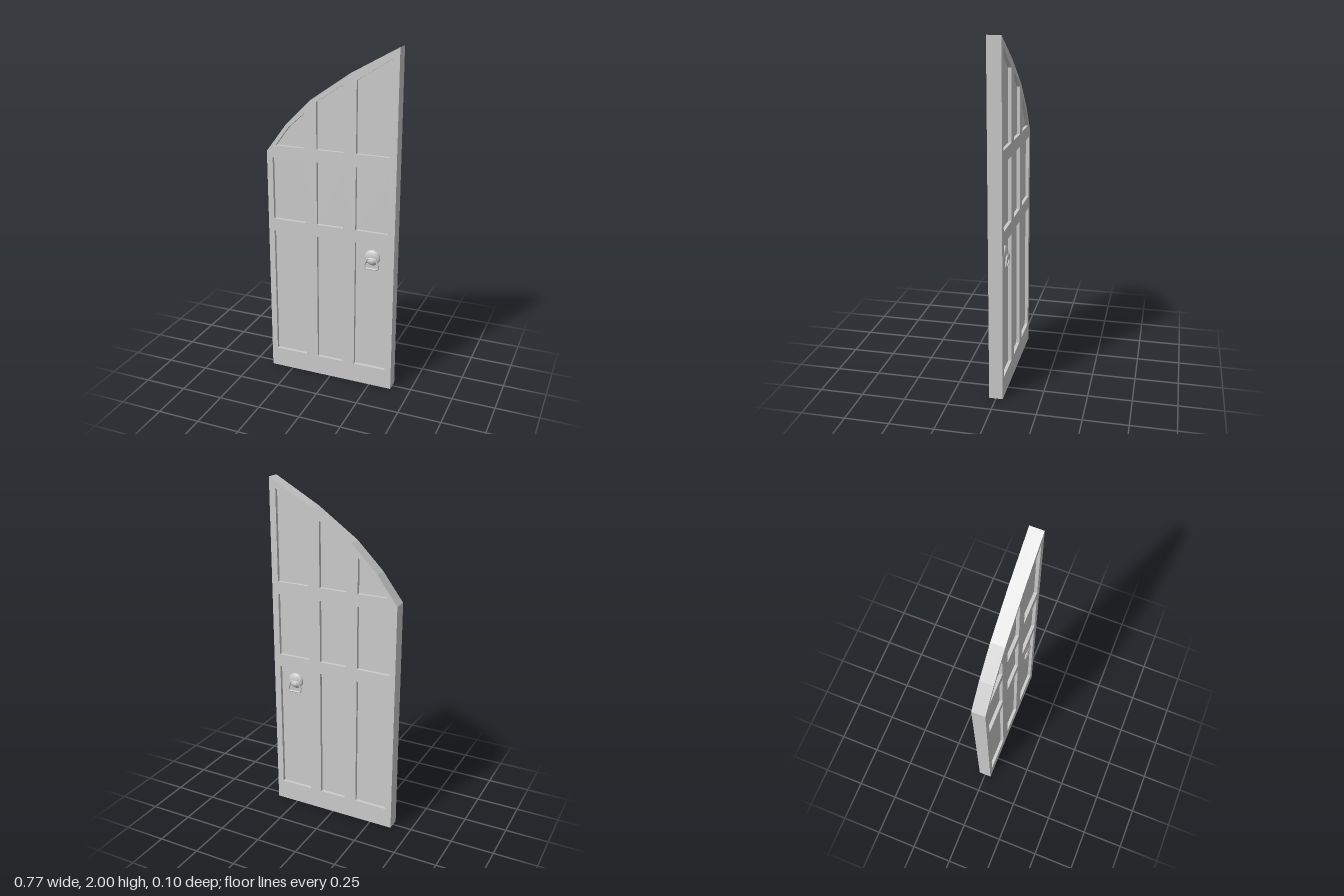
import * as THREE from 'three';

const mat = new THREE.MeshStandardMaterial({ color: 0xcccccc });
const HALF = 0.039; // half thickness of the frame
const FLOOR = 0.02; // half thickness of the sunk panels

function mesh(name, geometry, parent) {
  const m = new THREE.Mesh(geometry, mat);
  m.name = name;
  parent.add(m);
  return m;
}

const points = (list) => list.map(([x, y]) => new THREE.Vector2(x, y));

function slab(shape, half) {
  return new THREE.ExtrudeGeometry(shape, { depth: half * 2, bevelEnabled: false, curveSegments: 1 }).translate(0, 0, -half);
}

// Round boss, staple and hanging ring, facing +z
function makeHandle() {
  const g = new THREE.Group();

  // Shallow dome on the panel
  const dome = new THREE.LatheGeometry(points([
    [0.046, 0], [0.046, 0.006], [0.043, 0.01], [0.034, 0.015], [0.02, 0.019], [0, 0.021],
  ]), 24).rotateX(Math.PI / 2);
  mesh('handleBoss', dome, g).position.set(0, 0.82, FLOOR);

  // Cup-shaped staple that carries the ring
  const staple = new THREE.SphereGeometry(1, 16, 10).scale(0.026, 0.02, 0.013);
  mesh('handleStaple', staple, g).position.set(0, 0.803, 0.0355);

  // Stirrup-shaped ring
  const path = new THREE.CatmullRomCurve3([
    [-0.022, 0.815], [-0.033, 0.797], [-0.04, 0.773], [-0.036, 0.758], [0, 0.756],
    [0.036, 0.758], [0.04, 0.773], [0.033, 0.797], [0.022, 0.815], [0, 0.818],
  ].map(([x, y]) => new THREE.Vector3(x, y, 0.039)), true);
  mesh('handleRing', new THREE.TubeGeometry(path, 48, 0.0055, 8, true), g);
  return g;
}

export function createModel() {
  const door = new THREE.Group();
  door.name = 'door';

  // Panel outlines: two rows of rectangles, then a row following the arch
  const columns = [[-0.35, -0.152], [-0.08, 0.081], [0.153, 0.347]];
  const rows = [[0.12, 0.902], [0.976, 1.344]];
  const panels = [];
  for (const [x0, x1] of columns) {
    for (const [y0, y1] of rows) panels.push([[x0, y0], [x1, y0], [x1, y1], [x0, y1]]);
  }
  panels.push(
    [[-0.33, 1.417], [-0.152, 1.417], [-0.152, 1.615], [-0.25, 1.525]],
    [[-0.08, 1.417], [0.081, 1.417], [0.081, 1.79], [-0.08, 1.683]],
    [[0.153, 1.417], [0.347, 1.417], [0.347, 1.94], [0.153, 1.815]],
  );

  // Frame of stiles and rails with a faceted arched top
  const frame = new THREE.Shape(points([
    [-0.385, 0], [0.385, 0], [0.385, 2], [0.12, 1.853], [-0.112, 1.692], [-0.265, 1.54], [-0.385, 1.38],
  ]));
  frame.holes = panels.map((p) => new THREE.Path(points(p)));
  mesh('doorFrame', slab(frame, HALF), door);

  // Sunk panels
  for (const p of panels) mesh('panel', slab(new THREE.Shape(points(p)), FLOOR), door);

  // One handle on each face
  for (const side of ['front', 'back']) {
    const handle = makeHandle();
    handle.name = side + 'Handle';
    handle.position.x = 0.252;
    if (side === 'back') handle.rotation.y = Math.PI;
    door.add(handle);
  }
  return door;
}
